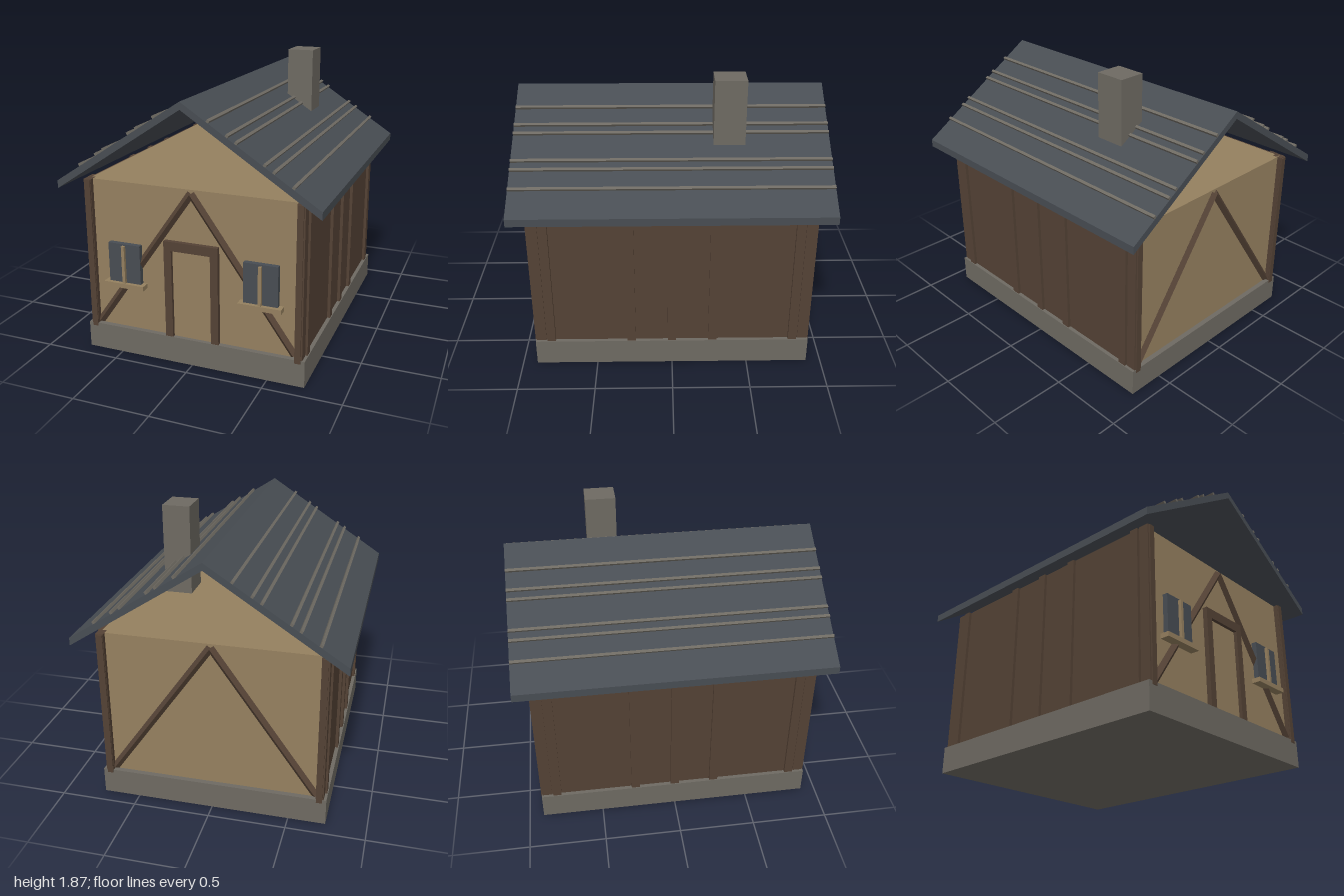
import * as THREE from 'three';

const mat = (name, color) => new THREE.MeshStandardMaterial({ name, color });

export function createModel() {
  const plaster = mat('tan plaster', 0x95805f);
  const timber = mat('dark timber', 0x544235);
  const slate = mat('slate', 0x484d53);
  const stone = mat('stone', 0x6e6a62);
  const house = new THREE.Group();
  house.name = 'cottage';

  // Box given by its min and max corners
  function box(name, material, [x0, y0, z0], [x1, y1, z1], parent = house) {
    const mesh = new THREE.Mesh(new THREE.BoxGeometry(x1 - x0, y1 - y0, z1 - z0), material);
    mesh.position.set((x0 + x1) / 2, (y0 + y1) / 2, (z0 + z1) / 2);
    mesh.name = name;
    parent.add(mesh);
    return mesh;
  }

  // Square beam between two points, turned edge-forward
  function beam(name, a, b, side, parent) {
    const dir = b.clone().sub(a);
    const geo = new THREE.BoxGeometry(side, dir.length(), side);
    geo.rotateY(Math.PI / 4);
    const mesh = new THREE.Mesh(geo, timber);
    mesh.quaternion.setFromUnitVectors(new THREE.Vector3(0, 1, 0), dir.normalize());
    mesh.position.copy(a).add(b).multiplyScalar(0.5);
    mesh.name = name;
    parent.add(mesh);
  }

  // Foundation and body
  box('foundation', stone, [-0.74, 0, -0.905], [0.74, 0.175, 0.905]);
  box('walls', plaster, [-0.7, 0.175, -0.872], [0.7, 1.16, 0.872]);

  // Timber side walls with battens
  for (const s of [-1, 1]) {
    const side = new THREE.Group();
    side.name = s > 0 ? 'leftSideWall' : 'rightSideWall';
    house.add(side);
    const panel = box('sidePanel', timber, [-0.008, 0.175, -0.87], [0.008, 1.157, 0.87], side);
    panel.position.x = s * 0.707;
    for (const z of [-0.8, -0.268, 0, 0.268, 0.8]) {
      const batten = box('batten', timber, [-0.0175, 0.17, z - 0.028], [0.0175, 1.155, z + 0.028], side);
      batten.position.x = s * 0.717;
    }
  }

  // Gable ends: corner posts and diagonal braces
  for (const f of [-1, 1]) {
    const end = new THREE.Group();
    end.name = f > 0 ? 'frontFrame' : 'backFrame';
    end.rotation.y = f > 0 ? 0 : Math.PI;
    house.add(end);
    for (const s of [-1, 1]) {
      const post = box('cornerPost', timber, [-0.025, 0.175, 0.835], [0.025, 1.16, 0.9], end);
      post.position.x = s * 0.697;
      const strip = box('postStrip', timber, [-0.019, 0.155, 0.87], [0.019, 1.157, 0.909], end);
      strip.position.x = s * 0.694;
      beam('brace', new THREE.Vector3(s * 0.665, 0.19, 0.873), new THREE.Vector3(0, 1.135, 0.873), 0.036, end);
    }
  }

  // Door and its frame
  const frame = new THREE.Shape([
    [-0.18, 0.175], [-0.13, 0.175], [-0.13, 0.76], [0.13, 0.76],
    [0.13, 0.175], [0.18, 0.175], [0.18, 0.82], [-0.18, 0.82],
  ].map(([x, y]) => new THREE.Vector2(x, y)));
  const doorFrame = new THREE.Mesh(
    new THREE.ExtrudeGeometry(frame, { depth: 0.04, bevelEnabled: false }), timber);
  doorFrame.position.z = 0.862;
  doorFrame.name = 'doorFrame';
  house.add(doorFrame);
  box('door', plaster, [-0.13, 0.175, 0.87], [0.13, 0.76, 0.88]);

  // Front windows
  for (const s of [-1, 1]) {
    const win = new THREE.Group();
    win.name = s > 0 ? 'leftWindow' : 'rightWindow';
    win.position.x = s * 0.456;
    house.add(win);
    box('pane', slate, [-0.11, 0.5, 0.86], [0.11, 0.76, 0.905], win);
    box('mullion', plaster, [-0.01, 0.5, 0.87], [0.01, 0.75, 0.925], win);
    box('sill', plaster, [-0.139, 0.47, 0.86], [0.139, 0.5, 0.93], win);
  }

  // Open gable roof
  const roofShape = new THREE.Shape([
    [0, 1.715], [-0.845, 1.165], [-0.845, 1.115], [0, 1.668], [0.845, 1.115], [0.845, 1.165],
  ].map(([x, y]) => new THREE.Vector2(x, y)));
  const roof = new THREE.Mesh(
    new THREE.ExtrudeGeometry(roofShape, { depth: 2, bevelEnabled: false }), slate);
  roof.position.z = -1;
  roof.name = 'roof';
  house.add(roof);

  // Thin strips along the roof
  const slope = 0.55 / 0.845;
  for (const s of [-1, 1]) {
    for (const x of [0.168, 0.282, 0.337, 0.507, 0.562, 0.677]) {
      const strip = box('roofStrip', stone, [-0.009, -0.012, -0.999], [0.009, 0.012, 0.999]);
      strip.position.set(s * x, 1.721 - slope * x, 0);
      strip.rotation.z = -s * Math.atan(slope);
    }
  }

  // Chimney
  box('chimney', stone, [0.235, 1.3, -0.465], [0.41, 1.87, -0.265]);

  return house;
}
